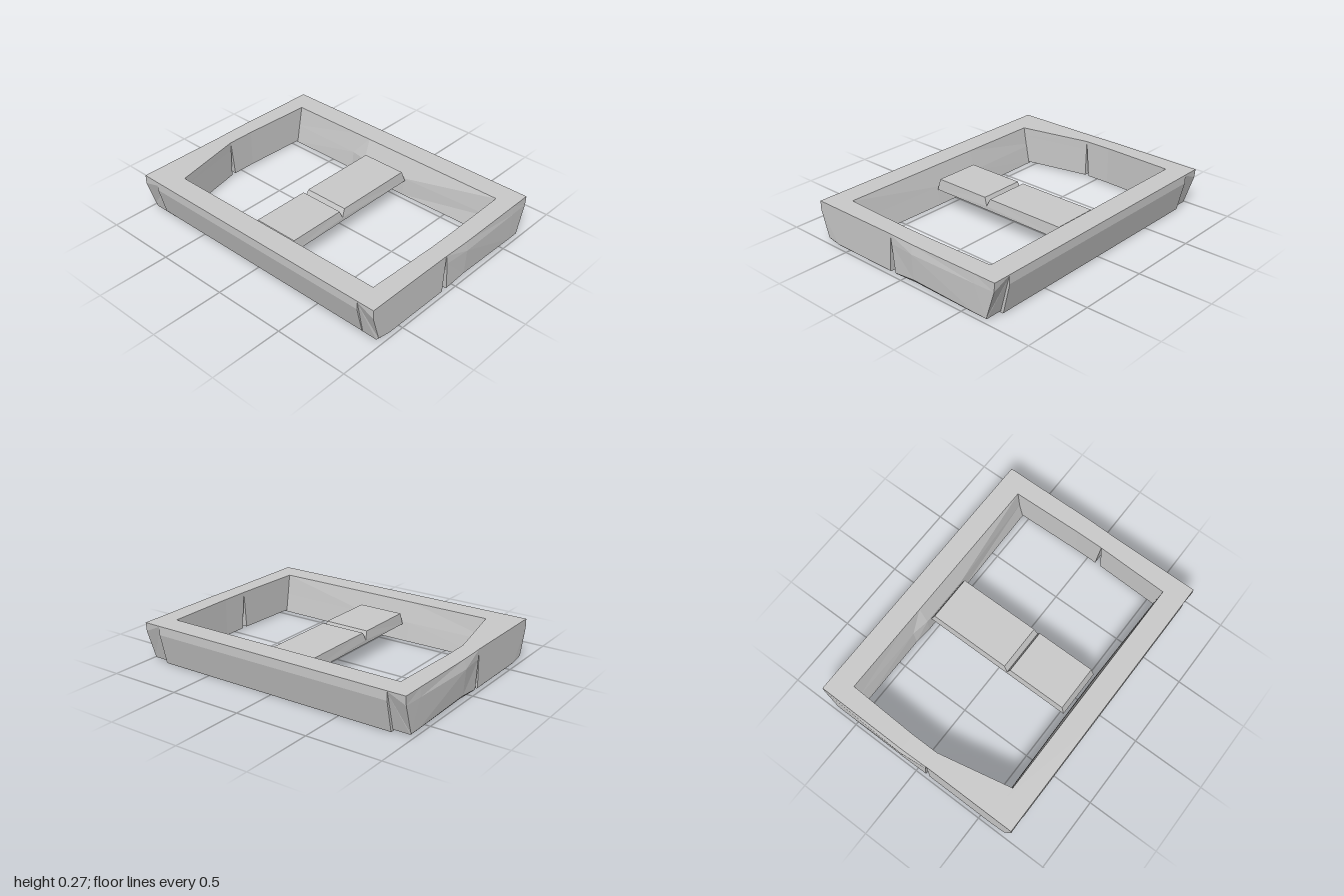
import * as THREE from 'three';

const material = new THREE.MeshStandardMaterial({ color: 0xcccccc, flatShading: true, side: THREE.DoubleSide });
const TOP = 0.27;

// Skins a row of equal-length rings of [x, y, z] points and caps both ends.
function loft(name, rings) {
  const pos = [];
  const n = rings[0].length;
  const tri = (a, b, c) => pos.push(...a, ...b, ...c);
  for (let s = 0; s < rings.length - 1; s++) {
    for (let i = 0; i < n; i++) {
      const j = (i + 1) % n;
      const [p, q] = [rings[s], rings[s + 1]];
      tri(p[i], q[i], q[j]);
      tri(p[i], q[j], p[j]);
    }
  }
  const [first, last] = [rings[0], rings[rings.length - 1]];
  for (let i = 1; i < n - 1; i++) {
    tri(first[0], first[i], first[i + 1]);
    tri(last[0], last[i + 1], last[i]);
  }
  // Turn the faces outwards if the signed volume is negative.
  let volume = 0;
  const [a, b, c] = [new THREE.Vector3(), new THREE.Vector3(), new THREE.Vector3()];
  for (let i = 0; i < pos.length; i += 9) {
    volume += a.fromArray(pos, i).dot(b.fromArray(pos, i + 3).cross(c.fromArray(pos, i + 6)));
  }
  if (volume < 0) {
    for (let i = 0; i < pos.length; i += 9) {
      for (let k = 0; k < 3; k++) [pos[i + 3 + k], pos[i + 6 + k]] = [pos[i + 6 + k], pos[i + 3 + k]];
    }
  }
  const geometry = new THREE.BufferGeometry();
  geometry.setAttribute('position', new THREE.Float32BufferAttribute(pos, 3));
  geometry.computeVertexNormals();
  const mesh = new THREE.Mesh(geometry, material);
  mesh.name = name;
  return mesh;
}

// Short end rail, running along x. side = 1 for front, -1 for back.
// Station: x at top, shoulder and bottom; inner z; outer z at top, shoulder, bottom; chamfer height.
function endRail(name, side, stations) {
  return loft(name, stations.map(([xt, xm, xb, zi, zt, zm, zb, chamfer]) => [
    [xt, TOP, side * zi],
    [xt, TOP, side * zt],
    [xm, 0.21, side * zm],
    [xb, chamfer, side * zb],
    [xb, 0.01, side * (zb - (chamfer - 0.01) * 0.8)],
    [xb, 0.01, side * zi],
    [xm, 0.21, side * zi],
  ]));
}

// Long side rail, running along z. side = 1 for left (+x), -1 for right.
// Station: z; inner x at middle and bottom.
function sideRail(name, side, stations) {
  const chamfer = side < 0 ? 0.02 : 0.004;
  return loft(name, stations.map(([z, xm, xb]) => [
    [side * 0.59, TOP, z],
    [side * 0.74, TOP, z],
    [side * 0.74, 0.21, z],
    [side * 0.692, chamfer, z],
    [side * (0.692 - chamfer), 0, z],
    [side * xb, 0, z],
    [side * xm, 0.13, z],
  ]));
}

// Low cross plank with a V-shaped notch cut into its top.
function crossPlank() {
  const outline = [[-0.54, 0.12], [0.535, 0.12], [0.505, 0.2], [-0.065, 0.2], [-0.09, 0.145], [-0.11, 0.2], [-0.52, 0.2]];
  const shape = new THREE.Shape(outline.map(([x, y]) => new THREE.Vector2(x, y)));
  const geometry = new THREE.ExtrudeGeometry(shape, { depth: 0.33, bevelEnabled: false });
  geometry.translate(0, 0, -0.165);
  const p = geometry.attributes.position;
  for (let i = 0; i < p.count; i++) {
    if (p.getY(i) > 0.19) p.setZ(i, p.getZ(i) * 0.96);
  }
  geometry.computeVertexNormals();
  const mesh = new THREE.Mesh(geometry, material);
  mesh.name = 'crossPlank';
  return mesh;
}

export function createModel() {
  const model = new THREE.Group();
  model.name = 'splitFrame';

  // Long rails lean inwards and have a slight bulge on their inner faces
  model.add(
    sideRail('leftRail', 1, [[-0.86, 0.565, 0.543], [-0.32, 0.56, 0.545], [-0.2, 0.54, 0.535], [0.15, 0.54, 0.535], [0.86, 0.575, 0.548]]),
    sideRail('rightRail', -1, [[-0.86, 0.57, 0.55], [-0.2, 0.56, 0.542], [0.15, 0.56, 0.54], [0.86, 0.57, 0.55]]),
  );

  // End rails, each split by a V-shaped gap; the +x halves bulge outwards
  for (const [name, side] of [['front', 1], ['back', -1]]) {
    const zCorner = side > 0 ? 0.848 : 0.765;
    const zGap = side > 0 ? 0.863 : 0.87;
    const gapX = side > 0 ? -0.108 : -0.095;
    const bulge = side > 0 ? 0.995 : 1.0;
    model.add(
      endRail(name + 'RailRight', side, [
        [-0.74, -0.74, -0.685, zCorner, 0.98, 0.98, 0.978, 0.03],
        [-0.59, -0.59, -0.59, zCorner, 0.98, 0.98, 0.98, 0.014],
        [-0.09, -0.094, gapX, zGap, 0.98, 0.98, 0.98, 0.014],
      ]),
      endRail(name + 'RailLeft', side, [
        [-0.09, -0.082, -0.065, zGap, 0.981, 0.983, 0.98, 0.015],
        [0.1, 0.1, 0.1, zGap, 0.985, bulge, 0.985, 0.035],
        [0.59, 0.59, 0.59, 0.852, 0.981, 0.985, 0.98, 0.017],
        [0.74, 0.735, 0.672, 0.852, 0.98, 0.98, 0.978, 0.015],
      ]),
    );
  }

  model.add(crossPlank());
  return model;
}
